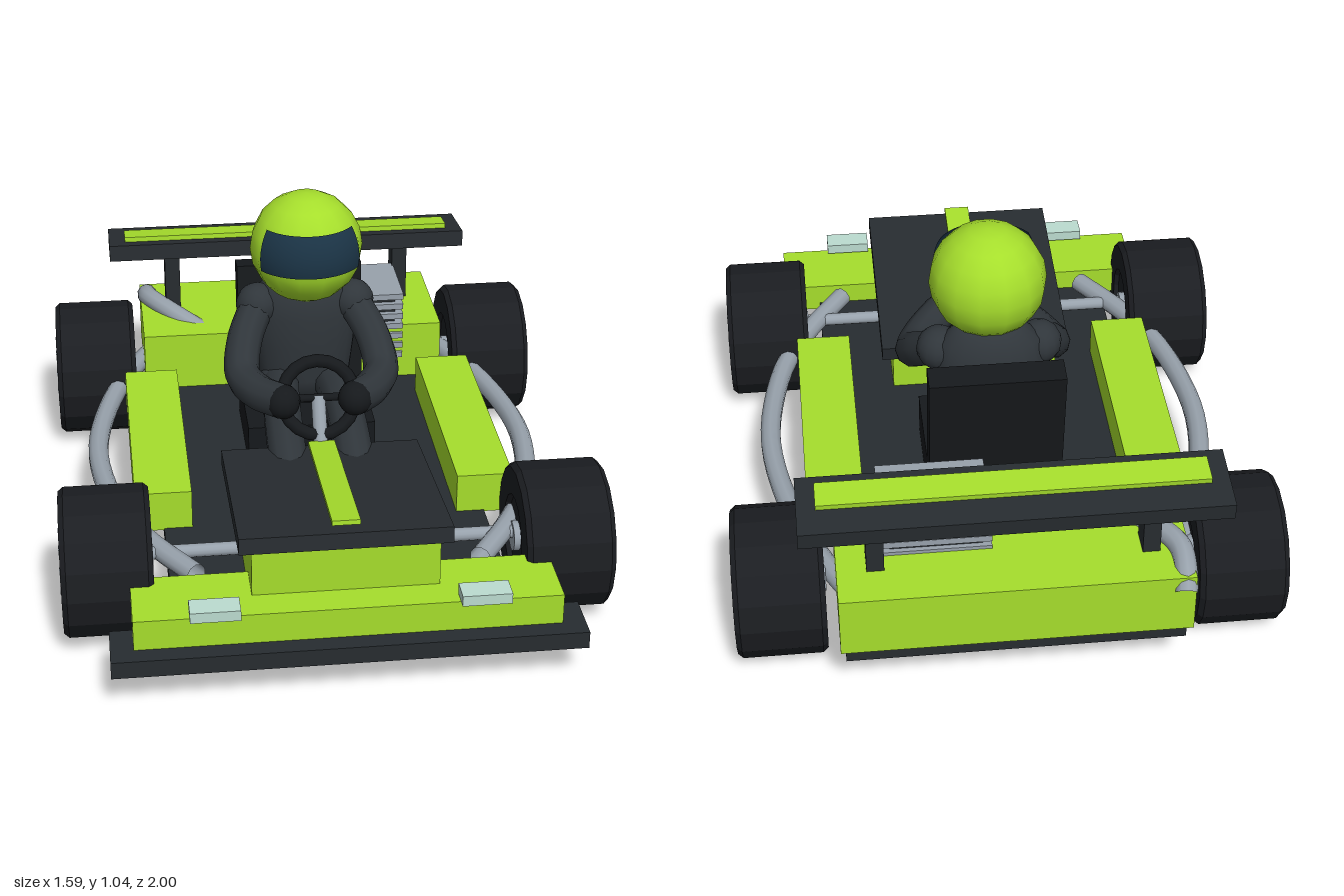
import * as THREE from 'three';

const mat = (color, flat = false) =>
  new THREE.MeshStandardMaterial({ color, flatShading: flat, side: THREE.DoubleSide });
const green = mat(0xa6de2c), dark = mat(0x272c30), black = mat(0x16191c), silver = mat(0x98a2ac);
const rubber = mat(0x1b1d21, true), suit = mat(0x30363b), glass = mat(0x1b3446), lamp = mat(0xbcdcd0);
const V = (x, y, z) => new THREE.Vector3(x, y, z);

export function createModel() {
  const kart = new THREE.Group();
  kart.name = 'kart';

  const add = (name, geo, material, parent = kart) => {
    const m = new THREE.Mesh(geo, material);
    m.name = name;
    parent.add(m);
    return m;
  };
  // Box from its extents on each axis, optionally tilted about x
  const box = (name, material, [x0, x1], [y0, y1], [z0, z1], tilt = 0, parent = kart) => {
    const m = add(name, new THREE.BoxGeometry(x1 - x0, y1 - y0, z1 - z0), material, parent);
    m.position.set((x0 + x1) / 2, (y0 + y1) / 2, (z0 + z1) / 2);
    m.rotation.x = tilt;
    return m;
  };
  const tube = (name, material, points, r, parent = kart) =>
    add(name, new THREE.TubeGeometry(new THREE.CatmullRomCurve3(points), 24, r, 10), material, parent);
  const ball = (name, material, r, p, parent = kart) => {
    const m = add(name, new THREE.SphereGeometry(r, 14, 10), material, parent);
    m.position.copy(p);
    return m;
  };
  // Round bar between two points
  const bar = (name, material, a, b, r, parent = kart) => {
    const m = add(name, new THREE.CylinderGeometry(r, r, a.distanceTo(b), 12), material, parent);
    m.position.copy(a).lerp(b, 0.5);
    m.quaternion.setFromUnitVectors(V(0, 1, 0), b.clone().sub(a).normalize());
    return m;
  };

  // Floor and front bumper
  box('floorPan', dark, [-0.485, 0.485], [0.135, 0.19], [-0.955, 0.8]);
  box('frontSplitter', dark, [-0.665, 0.665], [0.113, 0.165], [0.845, 1]);
  box('frontBumper', green, [-0.6, 0.6], [0.165, 0.257], [0.725, 0.945]);

  // Nose with sloping cover and stripe
  const side = new THREE.Shape([[-0.848, 0.165], [-0.848, 0.395], [-0.23, 0.32], [-0.23, 0.165]]
    .map(([z, y]) => new THREE.Vector2(z, y)));
  const nose = add('nose', new THREE.ExtrudeGeometry(side, { depth: 0.53, bevelEnabled: false }), green);
  nose.rotation.y = Math.PI / 2;
  nose.position.x = -0.265;
  box('noseCover', dark, [-0.3, 0.3], [0.354, 0.402], [0.203, 0.857], -0.125);
  box('noseStripe', green, [-0.04, 0.04], [0.424, 0.438], [0.247, 0.84], -0.125);

  // Rear body
  box('rearBody', green, [-0.5, 0.5], [0.19, 0.382], [-0.98, -0.557]);

  // Engine: dark core with cooling fins
  const engine = new THREE.Group();
  engine.name = 'engine';
  kart.add(engine);
  box('engineCore', dark, [0.08, 0.345], [0.19, 0.48], [-0.785, -0.565], 0, engine);
  for (let i = 0; i < 7; i++) {
    const y = 0.265 + i * 0.036;
    box('coolingFin', silver, [0.055, 0.37], [y, y + 0.02], [-0.8, -0.545], 0, engine);
  }

  // Rear wing
  box('rearWing', dark, [-0.6, 0.6], [0.572, 0.625], [-0.948, -0.735], -0.12);
  box('wingStripe', green, [-0.547, 0.547], [0.629, 0.645], [-0.865, -0.778], -0.12);

  // Exhaust with a hooked tail
  tube('exhaust', silver, [V(-0.3, 0.35, -0.65), V(-0.4, 0.385, -0.74), V(-0.47, 0.392, -0.85),
    V(-0.475, 0.365, -0.94), V(-0.47, 0.33, -0.982)], 0.033);

  // Wheels: tyre profile turned around the axle
  const tyreProfile = [[0.03, 0.115], [0.118, 0.115], [0.125, 0.13], [0.207, 0.13], [0.22, 0.115],
    [0.22, -0.115], [0.207, -0.13], [0.125, -0.13], [0.118, -0.115], [0.03, -0.115]]
    .map(([r, h]) => new THREE.Vector2(r, h)).reverse();
  const tyreGeo = new THREE.LatheGeometry(tyreProfile, 16);
  const makeWheel = (s, z) => {
    const wheel = new THREE.Group();
    wheel.name = 'wheel';
    add('tyre', tyreGeo, rubber, wheel);
    add('hub', new THREE.CylinderGeometry(0.045, 0.045, 0.268, 14), silver, wheel);
    for (let i = 0; i < 10; i++) {
      const a = (i / 10) * Math.PI * 2;
      const spoke = add('spoke', new THREE.BoxGeometry(0.075, 0.026, 0.016), silver, wheel);
      spoke.position.set(Math.cos(a) * 0.075, 0.121, -Math.sin(a) * 0.075);
      spoke.rotation.y = a;
    }
    wheel.rotation.z = -s * Math.PI / 2;
    wheel.position.set(s * 0.662, 0.22, z);
    kart.add(wheel);
  };
  for (const z of [0.56, -0.685]) bar('axle', silver, V(-0.6, 0.235, z), V(0.6, 0.235, z), 0.02);

  // Seat
  box('seatBack', black, [-0.2, 0.2], [0.31, 0.705], [-0.425, -0.343], -0.14);
  box('seatBase', black, [-0.2, 0.2], [0.185, 0.32], [-0.37, 0.0]);

  // Steering wheel and column
  const steering = new THREE.Group();
  steering.name = 'steeringWheel';
  steering.position.set(0, 0.508, 0.172);
  steering.rotation.x = -0.49;
  kart.add(steering);
  add('rim', new THREE.TorusGeometry(0.112, 0.02, 8, 20), black, steering);
  for (const a of [0, Math.PI, -Math.PI / 2])
    bar('rimSpoke', black, V(0, 0, 0), V(Math.cos(a) * 0.11, Math.sin(a) * 0.11, 0), 0.012, steering);
  bar('steeringColumn', silver, V(0, 0.51, 0.165), V(0, 0.35, 0.26), 0.022);

  // Driver
  const driver = new THREE.Group();
  driver.name = 'driver';
  kart.add(driver);
  const torsoProfile = [[0, 0.31], [0.12, 0.32], [0.145, 0.4], [0.16, 0.52], [0.168, 0.62],
    [0.15, 0.7], [0.1, 0.745], [0, 0.76]].map(([r, y]) => new THREE.Vector2(r, y));
  const torso = add('torso', new THREE.LatheGeometry(torsoProfile, 20), suit, driver);
  torso.scale.z = 0.62;
  torso.position.z = -0.225;
  ball('helmet', green, 0.175, V(0, 0.865, -0.16), driver);
  const visor = add('visor', new THREE.SphereGeometry(0.183, 14, 6,
    Math.PI / 2 - 0.98, 1.96, 1.02, 0.74), glass, driver);
  visor.position.set(0, 0.865, -0.16);

  // Everything mirrored left and right
  for (const s of [1, -1]) {
    makeWheel(s, 0.56);
    makeWheel(s, -0.685);
    const span = (a, b) => (s > 0 ? [a, b] : [-b, -a]);
    box('sidePod', green, span(0.4, 0.57), [0.185, 0.312], [-0.445, 0.355]);
    box('headlight', lamp, span(0.305, 0.445), [0.265, 0.297], [0.912, 0.982]);
    box('wingStrut', dark, span(0.365, 0.415), [0.38, 0.59], [-0.86, -0.78]);
    tube('sideRail', silver, [V(s * 0.41, 0.235, 0.69), V(s * 0.52, 0.235, 0.52), V(s * 0.61, 0.235, 0.33),
      V(s * 0.665, 0.235, 0.05), V(s * 0.665, 0.235, -0.15), V(s * 0.61, 0.235, -0.43),
      V(s * 0.54, 0.235, -0.62), V(s * 0.47, 0.235, -0.76)], 0.032);

    const shoulder = V(s * 0.15, 0.655, -0.2), hand = V(s * 0.11, 0.51, 0.19);
    ball('shoulder', suit, 0.068, shoulder, driver);
    tube('arm', suit, [shoulder, V(s * 0.2, 0.58, -0.1), V(s * 0.215, 0.51, 0),
      V(s * 0.175, 0.5, 0.1), hand], 0.055, driver);
    ball('hand', black, 0.053, hand, driver);
    const hip = V(s * 0.08, 0.385, -0.2);
    ball('hip', suit, 0.07, hip, driver);
    tube('leg', suit, [hip, V(s * 0.095, 0.39, 0), V(s * 0.1, 0.36, 0.16), V(s * 0.1, 0.31, 0.32)], 0.06, driver);
  }
  return kart;
}
